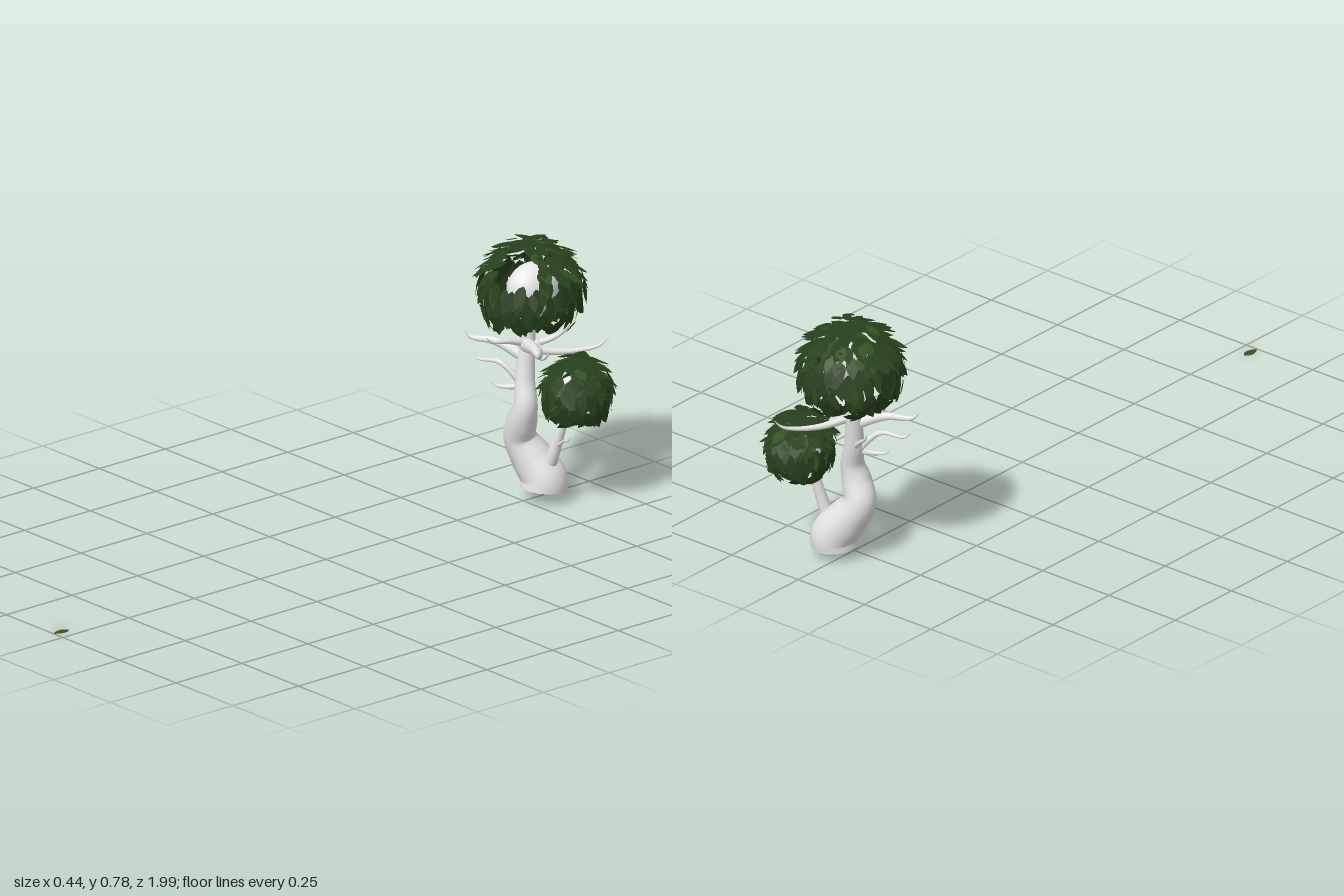
import * as THREE from 'three';
import { mergeGeometries } from 'three/addons/utils/BufferGeometryUtils.js';

const bark = new THREE.MeshStandardMaterial({ name: 'pale bark', color: 0xf2f2f2 });
const leafDark = new THREE.MeshStandardMaterial({ name: 'dark leaf', color: 0x273f1d, side: THREE.DoubleSide });
const leafLight = new THREE.MeshStandardMaterial({ name: 'light leaf', color: 0x335020, side: THREE.DoubleSide });
const leafDry = new THREE.MeshStandardMaterial({ name: 'fallen leaf', color: 0x454a20, side: THREE.DoubleSide });

const V = (x, y, z) => new THREE.Vector3(x, y, z);

// small seeded random
let seed = 7;
const rnd = () => {
  seed = (seed * 16807) % 2147483647;
  return seed / 2147483647;
};
const jitter = (a) => (rnd() - 0.5) * 2 * a;

// tapered limb through points, with one radius per point
function limb(name, pts, radii, sides = 10, steps = 28) {
  const curve = new THREE.CatmullRomCurve3(pts);
  const taper = new THREE.SplineCurve(radii.map((r, i) => new THREE.Vector2(i, r)));
  const geo = new THREE.TubeGeometry(curve, steps, 1, sides, false);
  const pos = geo.attributes.position;
  const v = V(0, 0, 0);
  for (let i = 0; i <= steps; i++) {
    const c = curve.getPointAt(i / steps);
    const r = taper.getPoint(curve.getUtoTmapping(i / steps)).y;
    for (let j = 0; j <= sides; j++) {
      const k = i * (sides + 1) + j;
      v.fromBufferAttribute(pos, k).sub(c).multiplyScalar(r).add(c);
      pos.setXYZ(k, v.x, v.y, v.z);
    }
  }
  const mesh = new THREE.Mesh(geo, bark);
  mesh.name = name;
  return mesh;
}

// bare branch: start, elbow, then a dip before the upturned tip
function branch(name, start, elbow, tip, r) {
  const dip = elbow.clone().lerp(tip, 0.78);
  dip.y -= 0.07 * start.distanceTo(tip);
  return limb(name, [start, elbow, dip, tip], [r, r * 0.68, r * 0.36, r * 0.08]);
}

// pointed oval leaf in the XY plane, tip towards +y
function leafGeometry() {
  const s = new THREE.Shape();
  s.moveTo(0, -0.027);
  s.bezierCurveTo(0.017, -0.018, 0.02, 0.006, 0, 0.029);
  s.bezierCurveTo(-0.02, 0.006, -0.017, -0.018, 0, -0.027);
  return new THREE.ShapeGeometry(s, 5);
}
const leaf = leafGeometry();

// overlapping leaves laid on a dome, tips pointing outwards and down
function canopy(name, centre, radii, count, gapAngle) {
  const sets = [[], []];
  const up = V(0, 1, 0);
  const gapDir = V(0.36, 0.62, 0.7).normalize();
  const golden = Math.PI * (3 - Math.sqrt(5));
  const low = Math.cos(2.25);
  for (let i = 0; i < count; i++) {
    const polar = Math.acos(1 - (1 - low) * ((i + 0.5) / count)) + jitter(0.08);
    const az = i * golden + jitter(0.15);
    const out = V(Math.sin(az), 0, Math.cos(az));
    const n = out.clone().multiplyScalar(Math.sin(polar)).addScaledVector(up, Math.cos(polar));
    if (n.angleTo(gapDir) < gapAngle) continue;
    const p = n.clone().multiply(radii).multiplyScalar(1 + jitter(0.1)).add(centre);
    // the upper leaves lie flatter than the dome
    const face = n.clone().addScaledVector(up, polar < 1.25 ? 1 : 0.15);
    face.add(V(jitter(0.25), 0, jitter(0.25))).normalize();
    const tip = out.clone().addScaledVector(up, -0.6).add(V(jitter(0.3), 0, jitter(0.3)));
    tip.addScaledVector(face, -tip.dot(face)).normalize();
    const side = tip.clone().cross(face);
    const s = 0.95 + rnd() * 0.35;
    const m = new THREE.Matrix4().makeBasis(side, tip, face).scale(V(s, s, s)).setPosition(p);
    sets[rnd() < 0.1 ? 1 : 0].push(leaf.clone().applyMatrix4(m));
  }
  const group = new THREE.Group();
  group.name = name;
  sets.forEach((set, k) => {
    const mesh = new THREE.Mesh(mergeGeometries(set), k ? leafLight : leafDark);
    mesh.name = k ? 'lightLeaves' : 'darkLeaves';
    group.add(mesh);
  });
  return group;
}

// pale rounded mass inside a canopy
function core(name, centre, radii) {
  const mesh = new THREE.Mesh(new THREE.SphereGeometry(1, 24, 16), bark);
  mesh.scale.copy(radii);
  mesh.position.copy(centre);
  mesh.name = name;
  return mesh;
}

export function createModel() {
  const tree = new THREE.Group();
  tree.name = 'tree';

  // winding trunk and its cut base, which is square to the first stretch
  const foot = V(0.029, 0.036, -0.802);
  const baseAxis = V(0, 1, -0.11).normalize();
  tree.add(limb('trunk', [
    foot, foot.clone().addScaledVector(baseAxis, 0.028), V(-0.009, 0.122, -0.79), V(-0.04, 0.18, -0.772),
    V(-0.02, 0.24, -0.763), V(-0.007, 0.29, -0.765), V(-0.022, 0.36, -0.775),
    V(-0.028, 0.48, -0.79), V(-0.02, 0.6, -0.8),
  ], [0.069, 0.068, 0.061, 0.048, 0.044, 0.035, 0.029, 0.023, 0.018], 28, 70));
  const base = new THREE.Mesh(new THREE.CircleGeometry(0.069, 28), bark);
  base.name = 'trunkBase';
  base.position.copy(foot);
  base.quaternion.setFromUnitVectors(V(0, 0, 1), baseAxis.clone().negate());
  tree.add(base);

  // side stem carrying the smaller canopy
  tree.add(limb('sideStem', [
    V(0.04, 0.08, -0.8), V(0.064, 0.14, -0.805), V(0.093, 0.26, -0.825), V(0.11, 0.34, -0.845),
  ], [0.026, 0.019, 0.014, 0.012], 14));

  // bare branches from the trunk: start height, elbow, tip, radius
  const onTrunk = (y) => V(-0.024, y, -0.782);
  [
    [0.425, V(-0.11, 0.462, -0.74), V(-0.2, 0.484, -0.695), 0.018],
    [0.33, V(-0.09, 0.402, -0.74), V(-0.18, 0.418, -0.71), 0.011],
    [0.345, V(-0.06, 0.333, -0.75), V(-0.108, 0.345, -0.72), 0.011],
    [0.35, V(-0.064, 0.385, -0.8), V(-0.108, 0.432, -0.82), 0.01],
    [0.46, V(0.03, 0.49, -0.85), V(0.065, 0.55, -0.88), 0.011],
    [0.45, V(0.03, 0.435, -0.88), V(0.1, 0.475, -0.99), 0.013],
    [0.47, V(-0.033, 0.487, -0.72), V(-0.045, 0.51, -0.65), 0.011],
  ].forEach(([y, elbow, tip, r], i) => tree.add(branch('branch' + (i + 1), onTrunk(y), elbow, tip, r)));

  // thick hooked branch with a fork, and a twig on the side stem
  tree.add(limb('hookedBranch', [
    onTrunk(0.465), V(0.05, 0.477, -0.75), V(0.118, 0.483, -0.71), V(0.135, 0.51, -0.7), V(0.115, 0.558, -0.7),
  ], [0.022, 0.016, 0.007, 0.005, 0.001]));
  tree.add(branch('fork', V(0.07, 0.48, -0.74), V(0.1, 0.467, -0.735), V(0.132, 0.495, -0.735), 0.009));
  tree.add(branch('twig', V(0.08, 0.175, -0.81), V(0.12, 0.203, -0.8), V(0.16, 0.23, -0.79), 0.006));

  // crowns: pale core with a shell of leaves, open towards the front
  tree.add(core('mainCrownCore', V(-0.01, 0.635, -0.795), V(0.066, 0.083, 0.085)));
  tree.add(canopy('mainCanopy', V(-0.045, 0.62, -0.818), V(0.142, 0.145, 0.146), 400, 0.5));
  tree.add(core('sideCrownCore', V(0.11, 0.335, -0.845), V(0.05, 0.055, 0.055)));
  tree.add(canopy('sideCanopy', V(0.114, 0.335, -0.855), V(0.09, 0.11, 0.102), 250, 0.2));

  // single leaf lying on the ground
  const fallen = new THREE.Mesh(leaf, leafDry);
  fallen.name = 'fallenLeaf';
  fallen.rotation.x = Math.PI / 2;
  fallen.position.set(-0.04, 0, 0.971);
  tree.add(fallen);
  return tree;
}
